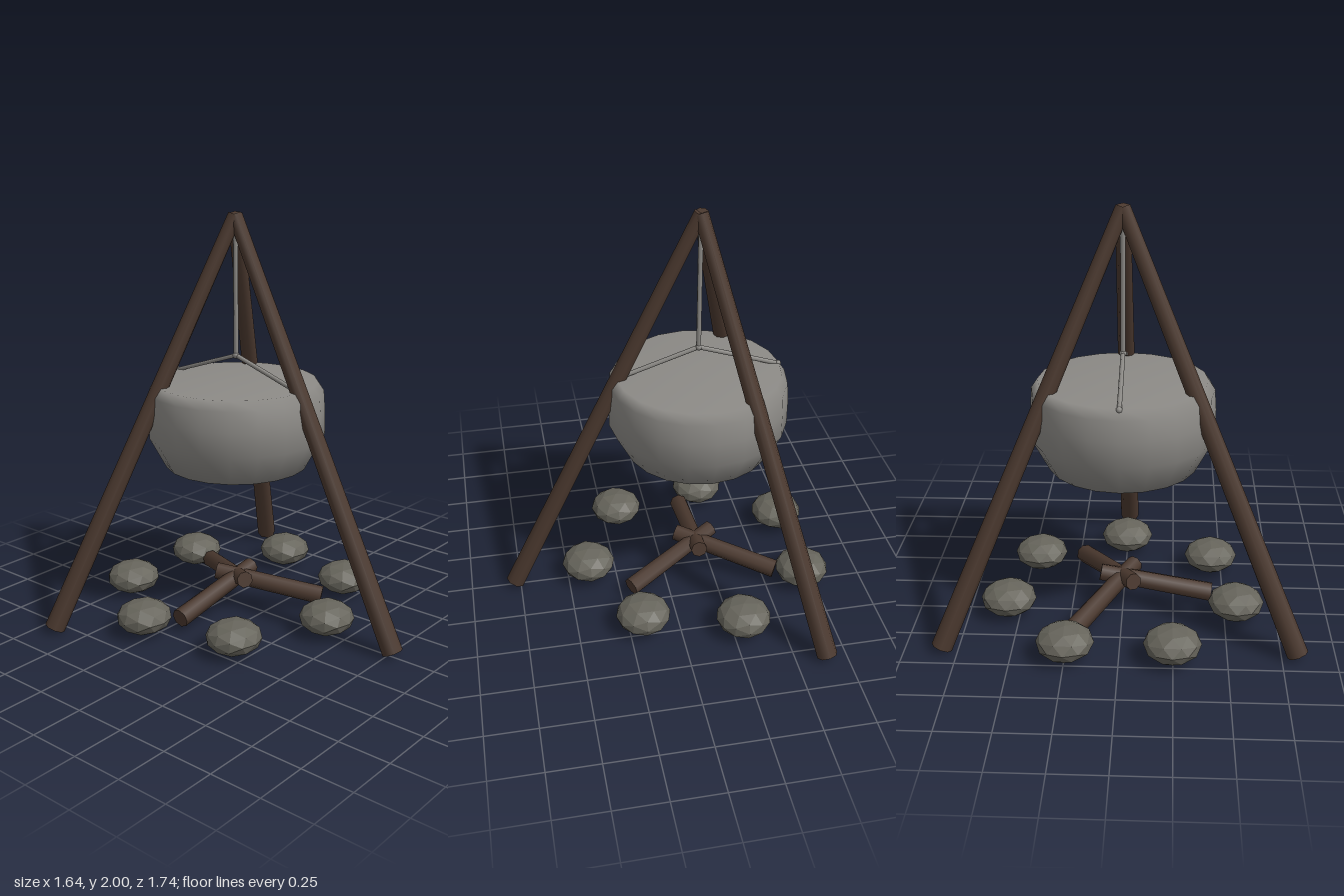
import * as THREE from 'three';

const AXIS_X = -0.175; // vertical axis of the tripod, pot and fire

export function createModel() {
  const wood = new THREE.MeshStandardMaterial({ color: 0x4a382e });
  wood.name = 'dark wood';
  const iron = new THREE.MeshStandardMaterial({ color: 0x8c8a86 });
  iron.name = 'grey iron';
  const rock = new THREE.MeshStandardMaterial({ color: 0x66645b, flatShading: true });
  rock.name = 'stone';

  const model = new THREE.Group();
  model.name = 'campfireCauldron';
  const camp = new THREE.Group();
  camp.name = 'camp';
  camp.position.x = AXIS_X;
  model.add(camp);

  const add = (geometry, material, name) => {
    const mesh = new THREE.Mesh(geometry, material);
    mesh.name = name;
    camp.add(mesh);
    return mesh;
  };

  // Point at a given angle (from +x towards +z), radius and height
  const polar = (angle, radius, y) =>
    new THREE.Vector3(Math.cos(angle) * radius, y, Math.sin(angle) * radius);

  // Tapered round bar between two points
  const bar = (from, to, rFrom, rTo, sides, material, name) => {
    const dir = to.clone().sub(from);
    const mesh = add(new THREE.CylinderGeometry(rTo, rFrom, dir.length(), sides), material, name);
    mesh.position.copy(from).add(to).multiplyScalar(0.5);
    mesh.quaternion.setFromUnitVectors(new THREE.Vector3(0, 1, 0), dir.normalize());
    return mesh;
  };

  for (let i = 0; i < 3; i++) {
    const angle = (i * Math.PI * 2) / 3;
    // Tripod poles meeting at the apex
    bar(polar(angle, 0.95, 0.021), polar(angle, 0, 1.985), 0.05, 0.035, 8, wood, 'tripodPole');
    // Fire logs leaning over each other, set between the poles' directions
    const logAngle = angle + Math.PI / 2;
    bar(polar(logAngle, 0.435, 0.07), polar(logAngle, -0.11, 0.17), 0.047, 0.042, 8, wood, 'fireLog');
  }

  // Ring of stones
  for (let i = 0; i < 7; i++) {
    const stone = add(new THREE.IcosahedronGeometry(0.135, 1), rock, 'fireStone');
    stone.position.copy(polar((i * Math.PI * 2) / 7, 0.568, 0.09));
    stone.scale.y = 0.6;
  }

  // Closed cauldron
  const profile = [
    [0, 0.73], [0.355, 0.765], [0.437, 0.92], [0.437, 1.04],
    [0.43, 1.14], [0.4, 1.185], [0, 1.185],
  ].map(([x, y]) => new THREE.Vector2(x, y));
  add(new THREE.LatheGeometry(profile, 20), iron, 'cauldron');

  // Hanging rod and the two arms of the handle
  const hook = new THREE.Vector3(0, 1.31, 0);
  bar(hook, new THREE.Vector3(0, 1.97, 0), 0.012, 0.012, 6, iron, 'hangingRod');
  add(new THREE.SphereGeometry(0.017, 8, 6), iron, 'handleJoint').position.copy(hook);
  for (const side of [-1, 1]) {
    const end = new THREE.Vector3(side * 0.395, 1.18, 0);
    bar(hook, end, 0.011, 0.011, 6, iron, 'handleArm');
    add(new THREE.SphereGeometry(0.016, 8, 6), iron, 'handleEnd').position.copy(end);
  }

  return model;
}
